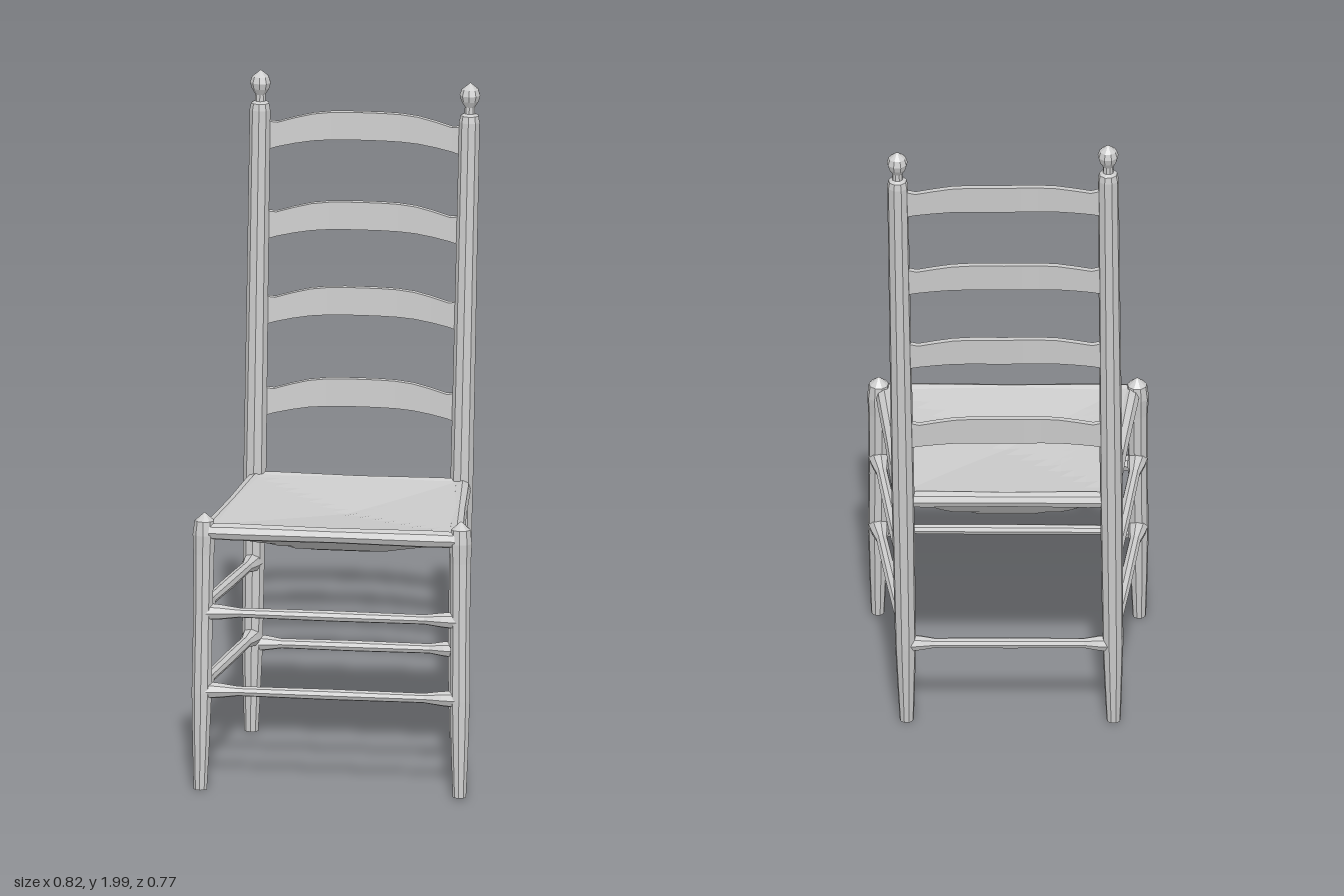
import * as THREE from 'three';

const material = new THREE.MeshStandardMaterial({ color: 0xcccccc, flatShading: true });
const V = (x, y, z) => new THREE.Vector3(x, y, z);

export function createModel() {
  const chair = new THREE.Group();
  chair.name = 'ladderBackChair';

  const add = (name, geometry) => {
    const mesh = new THREE.Mesh(geometry, material);
    mesh.name = name;
    chair.add(mesh);
    return mesh;
  };

  // A turned stick from a to b; profile is a list of [distance 0..1, radius]
  const turned = (name, a, b, profile, sides = 9) => {
    const axis = b.clone().sub(a);
    const length = axis.length();
    const points = profile.map(([t, r]) => new THREE.Vector2(r, t * length));
    const mesh = add(name, new THREE.LatheGeometry(points, sides));
    mesh.position.copy(a);
    mesh.quaternion.setFromUnitVectors(V(0, 1, 0), axis.normalize());
  };

  // Leg centre lines, from floor to top
  const backLegs = {
    left: [V(0.29, 0.01, -0.25), V(0.318, 1.98, -0.353)],
    right: [V(-0.315, 0.01, -0.25), V(-0.299, 2.0, -0.342)],
  };
  const frontLegs = {
    left: [V(0.378, 0.015, 0.372), V(0.375, 0.84, 0.315)],
    right: [V(-0.387, 0.01, 0.366), V(-0.381, 0.84, 0.315)],
  };
  const at = ([a, b], y) => a.clone().lerp(b, (y - a.y) / (b.y - a.y));

  // Back posts with ball finials, and front legs with rounded tops
  const postProfile = [
    [0, 0], [0, 0.021], [0.06, 0.026], [0.13, 0.031], [0.4, 0.034], [0.7, 0.032], [0.94, 0.031],
    [0.95, 0.027], [0.953, 0.016], [0.963, 0.015], [0.972, 0.026], [0.981, 0.031], [0.99, 0.025], [1, 0],
  ];
  const legProfile = [
    [0, 0], [0, 0.02], [0.15, 0.025], [0.35, 0.03], [0.6, 0.029], [0.85, 0.031], [0.92, 0.034],
    [0.97, 0.029], [1, 0],
  ];
  for (const side of ['left', 'right']) {
    turned(side + 'BackPost', ...backLegs[side], postProfile);
    turned(side + 'FrontLeg', ...frontLegs[side], legProfile);
  }

  // Rungs, flared where they enter the legs
  const rung = (name, a, b, r = 0.015) => turned(name, a, b, [
    [0, r * 1.8], [0.07, r * 1.5], [0.14, r], [0.5, r * 1.1], [0.86, r], [0.93, r * 1.5], [1, r * 1.8],
  ], 8);
  for (const [level, front, back] of [['upper', 0.56, 0.52], ['lower', 0.325, 0.295]]) {
    for (const side of ['left', 'right']) {
      rung(level + side + 'SideRung', at(frontLegs[side], front), at(backLegs[side], back), 0.017);
    }
    rung(level + 'FrontRung', at(frontLegs.left, front - 0.018), at(frontLegs.right, front - 0.018));
  }
  rung('backRung', at(backLegs.left, 0.275), at(backLegs.right, 0.275));

  // Ladder slats: boxes arched upward and bowed backward
  const slat = (name, y) => {
    const left = at(backLegs.left, y), right = at(backLegs.right, y);
    const geometry = new THREE.BoxGeometry(2, 1, 1, 12, 1, 1);
    const p = geometry.attributes.position;
    for (let i = 0; i < p.count; i++) {
      const u = p.getX(i);
      const bow = 1 - u * u;
      const arch = 0.5 + 0.5 * Math.cos(Math.PI * Math.min(1, u * u * 1.1));
      const c = right.clone().lerp(left, (u + 1) / 2);
      const height = 0.07 + 0.013 * arch + 0.025 * Math.pow(Math.abs(u), 16);
      const dy = p.getY(i) * height;
      p.setXYZ(i, c.x, y + 0.03 * arch + dy, c.z - 0.03 * bow - 0.045 * dy + p.getZ(i) * 0.018);
    }
    add(name, geometry);
  };
  [1.0, 1.275, 1.532, 1.802].forEach((y, i) => slat('backSlat' + (i + 1), y));

  // Seat rails rolled inside the woven edge
  const corners = [V(0.36, 0.785, 0.325), V(-0.365, 0.785, 0.325), V(-0.303, 0.768, -0.277), V(0.303, 0.768, -0.277)];
  const railNames = ['frontSeatRail', 'rightSeatRail', 'backSeatRail', 'leftSeatRail'];
  corners.forEach((c, i) => turned(railNames[i], c, corners[(i + 1) % 4],
    [[0, 0.024], [0.1, 0.026], [0.5, 0.023], [0.9, 0.026], [1, 0.024]], 8));

  // Woven seat: dished on top along diagonal creases, padded underneath
  const seat = new THREE.BoxGeometry(2, 1, 2, 16, 1, 16);
  const p = seat.attributes.position;
  for (let i = 0; i < p.count; i++) {
    const u = p.getX(i), v = p.getZ(i), f = (v + 1) / 2;
    const edge = 0.768 + 0.017 * f;
    const dip = 0.035 * (1 - Math.max(Math.abs(u), Math.abs(v)));
    const sag = 0.078 * Math.min(1, (1 - Math.abs(u)) * 1.4, (1 - v) * 1.7, (1 + v) * 5);
    const y = p.getY(i) > 0 ? edge + 0.021 - dip : edge - 0.018 - sag;
    p.setXYZ(i, u * (0.303 + 0.06 * f), y, -0.277 + 0.602 * f);
  }
  add('wovenSeat', seat);

  return chair;
}
